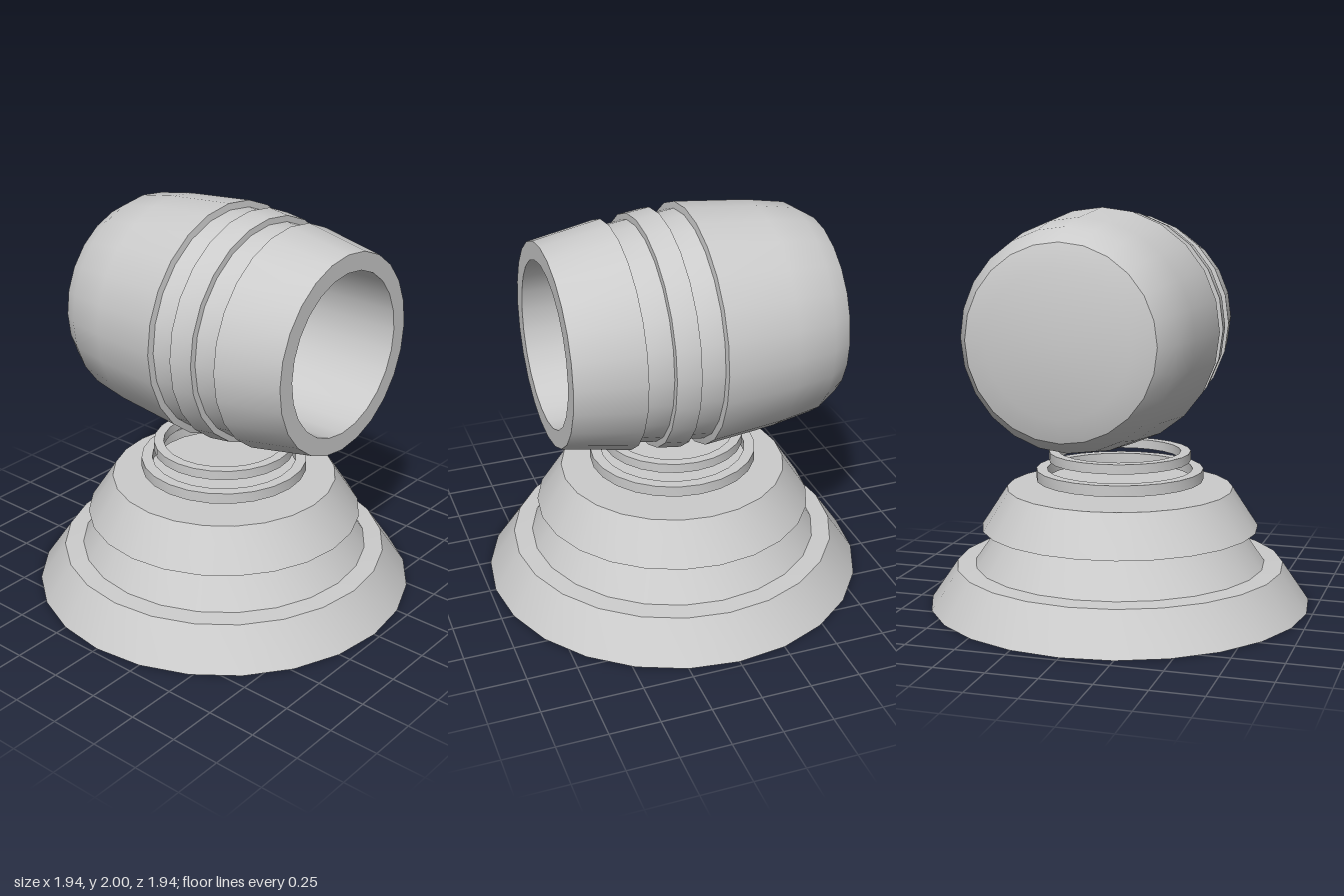
import * as THREE from 'three';
import { toCreasedNormals } from 'three/addons/utils/BufferGeometryUtils.js';

const SIDES = 24;
const material = new THREE.MeshStandardMaterial({ color: 0xcccccc });

// Turned part from [radius, height] pairs, keeping sharp ridges
function turned(name, profile) {
  const points = profile.map(([r, y]) => new THREE.Vector2(r, y));
  const geometry = toCreasedNormals(new THREE.LatheGeometry(points, SIDES), Math.PI / 6);
  const mesh = new THREE.Mesh(geometry, material);
  mesh.name = name;
  return mesh;
}

// Flat hollow ring
function ring(name, inner, outer, bottom, top) {
  return turned(name, [[inner, bottom], [outer, bottom], [outer, top], [inner, top], [inner, bottom]]);
}

export function createModel() {
  const group = new THREE.Group();
  group.name = 'barrelOnStand';

  // Three-tier conical stand
  group.add(turned('stand', [
    [0, 0], [0.97, 0], [0.835, 0.198], [0.74, 0.205],
    [0.615, 0.385], [0.705, 0.39], [0.575, 0.59], [0, 0.59],
  ]));

  // Two floating rings between stand and barrel
  group.add(ring('lowerRing', 0.37, 0.425, 0.63, 0.685));
  group.add(ring('upperRing', 0.31, 0.36, 0.727, 0.775));

  // Round-ended bore, from its mouth to its deepest point
  const bore = [[0.41, 0.675]];
  for (let i = 0; i <= 5; i++) {
    const a = (i / 5) * Math.PI / 2;
    bore.push([i === 5 ? 0 : 0.41 * Math.cos(a), -0.41 * Math.sin(a)]);
  }

  // Barrel: domed rear, stepped bands, tapered muzzle, then the bore
  const barrel = turned('barrel', [
    [0, -0.748], [0.35, -0.745], [0.465, -0.705], [0.53, -0.6], [0.565, -0.4],
    [0.6, -0.035], [0.567, -0.03], [0.552, 0.09],
    [0.588, 0.092], [0.573, 0.208], [0.543, 0.21], [0.527, 0.33],
    [0.562, 0.338], [0.5, 0.675], ...bore,
  ]);
  barrel.rotation.x = Math.PI / 2;
  barrel.position.set(0.08, 1.4, 0);
  group.add(barrel);

  return group;
}
